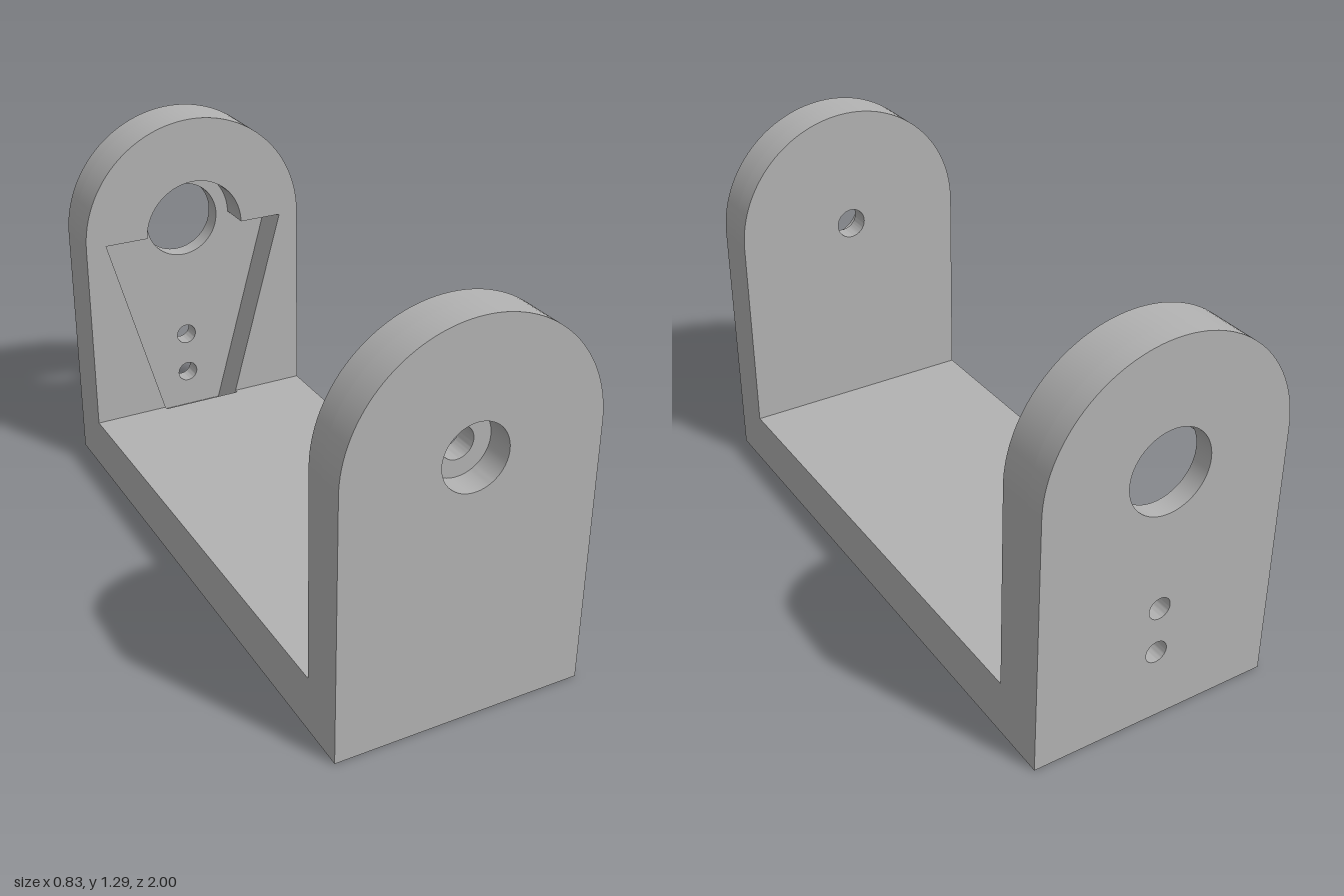
import * as THREE from 'three';
import { toCreasedNormals } from 'three/addons/utils/BufferGeometryUtils.js';

const HALF = 0.413;   // half width, also the arch radius
const AXIS = 0.875;   // height of the pivot axis
const FLOOR = 0.185;  // top of the base

export function createModel() {
  const group = new THREE.Group();
  group.name = 'uBracket';
  const grey = new THREE.MeshStandardMaterial({ color: 0xb2b2b2 });
  grey.name = 'grey';

  // Extrudes a front-facing shape between two z positions
  function slab(name, shape, z0, z1, parent) {
    const geo = new THREE.ExtrudeGeometry(shape, { depth: z1 - z0, bevelEnabled: false, curveSegments: 32 });
    geo.translate(0, 0, z0);
    const mesh = new THREE.Mesh(toCreasedNormals(geo, 0.5), grey);
    mesh.name = name;
    parent.add(mesh);
  }

  function part(name) {
    const g = new THREE.Group();
    g.name = name;
    group.add(g);
    return g;
  }

  function circle(y, r) {
    const p = new THREE.Path();
    p.absarc(0, y, r, 0, Math.PI * 2, false);
    return p;
  }

  // Upright outline with a round top
  function arch(...holes) {
    const s = new THREE.Shape();
    s.moveTo(-HALF, 0);
    s.lineTo(HALF, 0);
    s.lineTo(HALF, AXIS);
    s.absarc(0, AXIS, HALF, 0, Math.PI, false);
    s.closePath();
    s.holes.push(...holes);
    return s;
  }

  // Front upright: counterbore outside, small pivot hole inside
  const front = part('frontUpright');
  slab('counterboreLayer', arch(circle(AXIS, 0.107)), 0.91, 1, front);
  slab('pivotHoleLayer', arch(circle(AXIS, 0.052)), 0.84, 0.91, front);

  // Back upright: tapered pocket with a round head inside, through holes outside
  const pocket = new THREE.Path();
  pocket.moveTo(-0.125, 0.11);
  pocket.lineTo(0.125, 0.11);
  pocket.lineTo(0.34, AXIS);
  pocket.lineTo(0.184, AXIS);
  pocket.absarc(0, AXIS, 0.184, 0, Math.PI, false);
  pocket.lineTo(-0.34, AXIS);
  pocket.closePath();
  const back = part('backUpright');
  slab('pocketLayer', arch(pocket), -0.935, -0.818, back);
  slab('throughHoleLayer', arch(circle(AXIS, 0.137), circle(0.41, 0.037), circle(0.25, 0.037)), -1, -0.935, back);

  // Base, with the pocket running slightly into its back end
  const plain = new THREE.Shape([[-HALF, 0], [HALF, 0], [HALF, FLOOR], [-HALF, FLOOR]]
    .map(([x, y]) => new THREE.Vector2(x, y)));
  const notched = new THREE.Shape([
    [-HALF, 0], [HALF, 0], [HALF, FLOOR], [0.146, FLOOR],
    [0.125, 0.11], [-0.125, 0.11], [-0.146, FLOOR], [-HALF, FLOOR],
  ].map(([x, y]) => new THREE.Vector2(x, y)));
  const base = part('base');
  slab('floor', plain, -0.804, 0.84, base);
  slab('notchedEnd', notched, -0.818, -0.804, base);

  return group;
}
